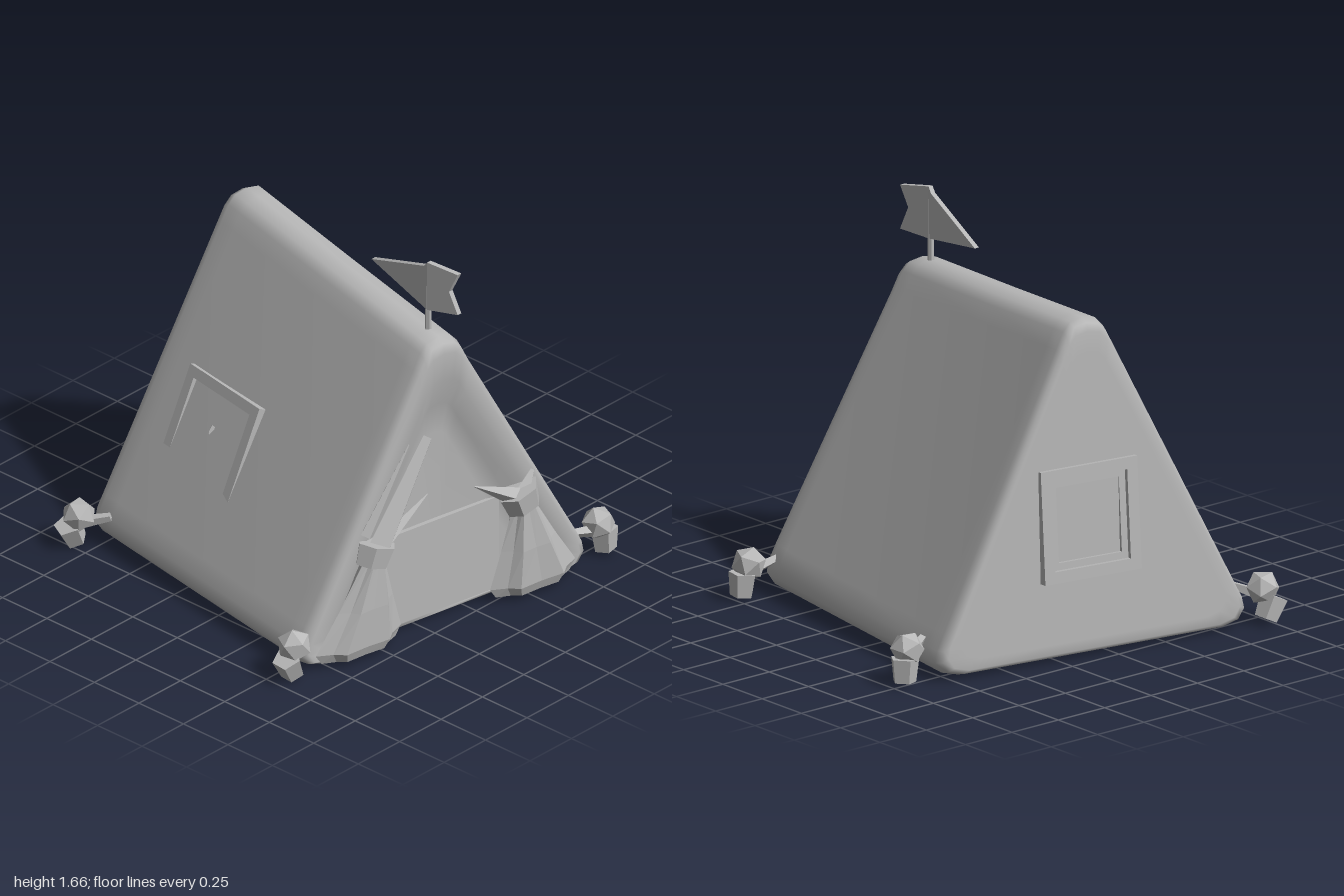
import * as THREE from 'three';

const canvas = new THREE.MeshStandardMaterial({ color: 0xb8b8b8, side: THREE.DoubleSide });
canvas.name = 'grey canvas';

function add(parent, name, geometry) {
  const mesh = new THREE.Mesh(geometry, canvas);
  mesh.name = name;
  parent.add(mesh);
  return mesh;
}

// Skin a list of closed rings, each a list of [x, y, z]
function loft(rings, smooth) {
  const n = rings[0].length, index = [];
  for (let i = 0; i < rings.length - 1; i++) {
    for (let j = 0; j < n; j++) {
      const a = i * n + j, b = i * n + (j + 1) % n, c = a + n, d = b + n;
      index.push(b, d, a, d, c, a);
    }
  }
  let g = new THREE.BufferGeometry();
  g.setAttribute('position', new THREE.Float32BufferAttribute(rings.flat(2), 3));
  g.setIndex(index);
  if (!smooth) g = g.toNonIndexed();
  g.computeVertexNormals();
  return g;
}

// Tapered faceted rod between two points
function rod(parent, name, from, to, r1, r2, sides = 4) {
  const a = new THREE.Vector3(...from), b = new THREE.Vector3(...to);
  const dir = b.clone().sub(a);
  const g = new THREE.CylinderGeometry(r2, r1, dir.length(), sides).toNonIndexed();
  g.computeVertexNormals();
  const mesh = add(parent, name, g);
  mesh.position.copy(a).add(b).multiplyScalar(0.5);
  mesh.quaternion.setFromUnitVectors(new THREE.Vector3(0, 1, 0), dir.normalize());
  return mesh;
}

// Rounded triangular section of the tent at x = u, scaled about height cy
function section(u, s, cy) {
  const top = 1.39 - 0.078 * u;
  const half = [[0, top], [0.06, top - 0.012], [0.095, top - 0.05], [0.13, top - 0.12],
    [0.69, 0.2], [0.725, 0.13], [0.735, 0.08], [0.705, 0.035], [0.63, 0.015], [0.3, 0.015]];
  const ring = [...half, [0, 0.015], ...half.slice(1).reverse().map(([w, y]) => [-w, y])];
  return ring.map(([w, y]) => {
    const yy = cy + (y - cy) * s;
    const lean = u < 0 ? 0.06 * yy / 1.45 * (-u / 0.73) : 0;
    // the floor edge steps inward at the entrance
    const x = u > 0.66 && y < 0.02 && Math.abs(w) < 0.35 ? 0.66 : u;
    return [x + lean, yy, w * s];
  });
}

// Square frame with an opening
function frame(w, h, border, depth) {
  const rect = (P, a, b) => new P([[-a, -b], [a, -b], [a, b], [-a, b]].map(p => new THREE.Vector2(...p)));
  const shape = rect(THREE.Shape, w / 2, h / 2);
  shape.holes.push(rect(THREE.Path, w / 2 - border, h / 2 - border));
  return new THREE.ExtrudeGeometry(shape, { depth, bevelEnabled: false });
}

// Gathered curtain with tie on side s (+1 front, -1 back)
function curtain(parent, s) {
  const g = new THREE.Group();
  g.name = s > 0 ? 'frontCurtain' : 'backCurtain';
  parent.add(g);
  // [height, centre, half width, half depth, x]
  const levels = [[0.03, 0.45, 0.001, 0.001, 0.72], [0.025, 0.45, 0.19, 0.06, 0.72], [0.07, 0.45, 0.22, 0.08, 0.72],
    [0.24, 0.42, 0.14, 0.07, 0.73], [0.45, 0.385, 0.05, 0.045, 0.74], [0.5, 0.38, 0.06, 0.045, 0.74], [0.5, 0.38, 0.001, 0.001, 0.74]];
  const n = 12;
  const rings = levels.map(([y, c, hw, hd, u]) => {
    const ring = [];
    for (let j = 0; j < n; j++) {
      const a = j / n * Math.PI * 2, k = j % 2 ? 0.8 : 1;
      ring.push([u + Math.sin(a) * hd * k, y, s * (c + Math.cos(a) * hw * k)]);
    }
    return s > 0 ? ring : ring.reverse();
  });
  add(g, 'gatheredCloth', loft(rings, false));
  const tie = rod(g, 'curtainTie', [0.735, 0.42, s * 0.395], [0.735, 0.51, s * 0.365], 0.08, 0.095, 6);
  tie.scale.x = 0.72;
  // loose pleats above the tie
  if (s > 0) {
    rod(g, 'pleat', [0.735, 0.47, 0.37], [0.73, 0.65, 0.1], 0.045, 0.002);
    rod(g, 'pleat', [0.73, 0.56, 0.42], [0.735, 0.92, 0.2], 0.028, 0.003);
    rod(g, 'pleat', [0.73, 0.48, 0.35], [0.69, 0.89, 0.07], 0.06, 0.025);
  } else {
    rod(g, 'pleat', [0.735, 0.47, -0.37], [0.73, 0.6, -0.14], 0.045, 0.002);
    rod(g, 'pleat', [0.735, 0.47, -0.38], [0.72, 0.57, -0.45], 0.045, 0.01);
  }
}

export function createModel() {
  const model = new THREE.Group();
  model.name = 'tent';

  const body = new THREE.Group();
  body.name = 'tentBody';
  body.position.set(0.01, 0, 0.03);
  body.rotation.y = -0.172;
  model.add(body);

  // Canvas shell; the last rings sink the entrance
  const stations = [[-0.73, 0.001, 0.45], [-0.73, 0.85, 0.45], [-0.73, 0.945, 0.45], [-0.718, 0.98, 0.45], [-0.685, 1, 0.45],
    [-0.6, 1, 0.45], [0, 1, 0.45], [0.6, 1, 0.45], [0.67, 1, 0.1], [0.705, 0.985, 0.1], [0.715, 0.95, 0.1],
    [0.71, 0.85, 0.1], [0.67, 0.74, 0.1], [0.645, 0.62, 0.1], [0.64, 0.001, 0.1]];
  add(body, 'canvasShell', loft(stations.map(p => section(...p)), true));

  // Low panel across the entrance
  const panel = add(body, 'entrancePanel', new THREE.BoxGeometry(0.03, 0.43, 0.64));
  panel.position.set(0.647, 0.245, 0);

  for (const s of [1, -1]) curtain(body, s);

  // Awning window on the front slope
  const roofWindow = new THREE.Group();
  roofWindow.name = 'slopeWindow';
  roofWindow.position.set(-0.246, 0.6, 0.482);
  roofWindow.rotation.x = -0.4;
  body.add(roofWindow);
  add(roofWindow, 'windowFrame', frame(0.47, 0.46, 0.045, 0.04)).position.z = -0.025;
  rod(roofWindow, 'windowKnob', [0, 0.05, 0], [0, 0.015, 0.015], 0.014, 0.004);

  // Window on the closed end
  const endWindow = new THREE.Group();
  endWindow.name = 'endWindow';
  endWindow.position.set(-0.695, 0.59, -0.02);
  endWindow.rotation.set(-0.08, -Math.PI / 2, 0, 'YXZ');
  body.add(endWindow);
  add(endWindow, 'windowFrame', frame(0.46, 0.48, 0.05, 0.04));
  add(endWindow, 'innerFrame', frame(0.36, 0.38, 0.03, 0.02));

  // Corner pegs: [x, z, corner x, corner z]
  const pegs = [[-0.82, 0.735, -0.7, 0.65], [0.57, 0.92, 0.56, 0.8], [0.8, -0.7, 0.78, -0.54], [-0.485, -0.925, -0.41, -0.77]];
  for (const [x, z, cx, cz] of pegs) {
    const peg = new THREE.Group();
    peg.name = 'cornerPeg';
    model.add(peg);
    const out = new THREE.Vector2(x - cx, z - cz).normalize().multiplyScalar(0.015);
    const upper = add(peg, 'pegKnot', new THREE.IcosahedronGeometry(0.074, 0));
    upper.position.set(x - out.x, 0.15, z - out.y);
    upper.rotation.set(0.4, x * 3, 0.3);
    const lower = add(peg, 'pegFoot', new THREE.CylinderGeometry(0.062, 0.05, 0.1, 5).toNonIndexed());
    lower.geometry.computeVertexNormals();
    lower.position.set(x + out.x, 0.067, z + out.y);
    lower.rotation.set(0.25, z * 2, 0.2);
    rod(peg, 'pegRope', [x, 0.11, z], [cx, 0.15, cz], 0.03, 0.018);
  }

  // Pennant and its pole on the ridge, the cloth blown back on both sides of the pole
  rod(model, 'flagPole', [0.6, 1.3, 0.13], [0.605, 1.64, 0.13], 0.015, 0.011, 6);
  const outline = [[-0.375, 1.5], [-0.02, 1.635], [0, 1.66], [0.14, 1.64], [0.1, 1.55], [0.14, 1.45], [0, 1.435]];
  const cloth = new THREE.ExtrudeGeometry(
    new THREE.Shape(outline.map(p => new THREE.Vector2(...p))), { depth: 0.022, bevelEnabled: false });
  const p = cloth.attributes.position;
  for (let i = 0; i < p.count; i++) {
    const x = p.getX(i);
    p.setZ(i, p.getZ(i) - (x < 0 ? -0.18 * x : 0.25 * x));
  }
  cloth.computeVertexNormals();
  add(model, 'pennant', cloth).position.set(0.605, 0, 0.12);

  return model;
}
